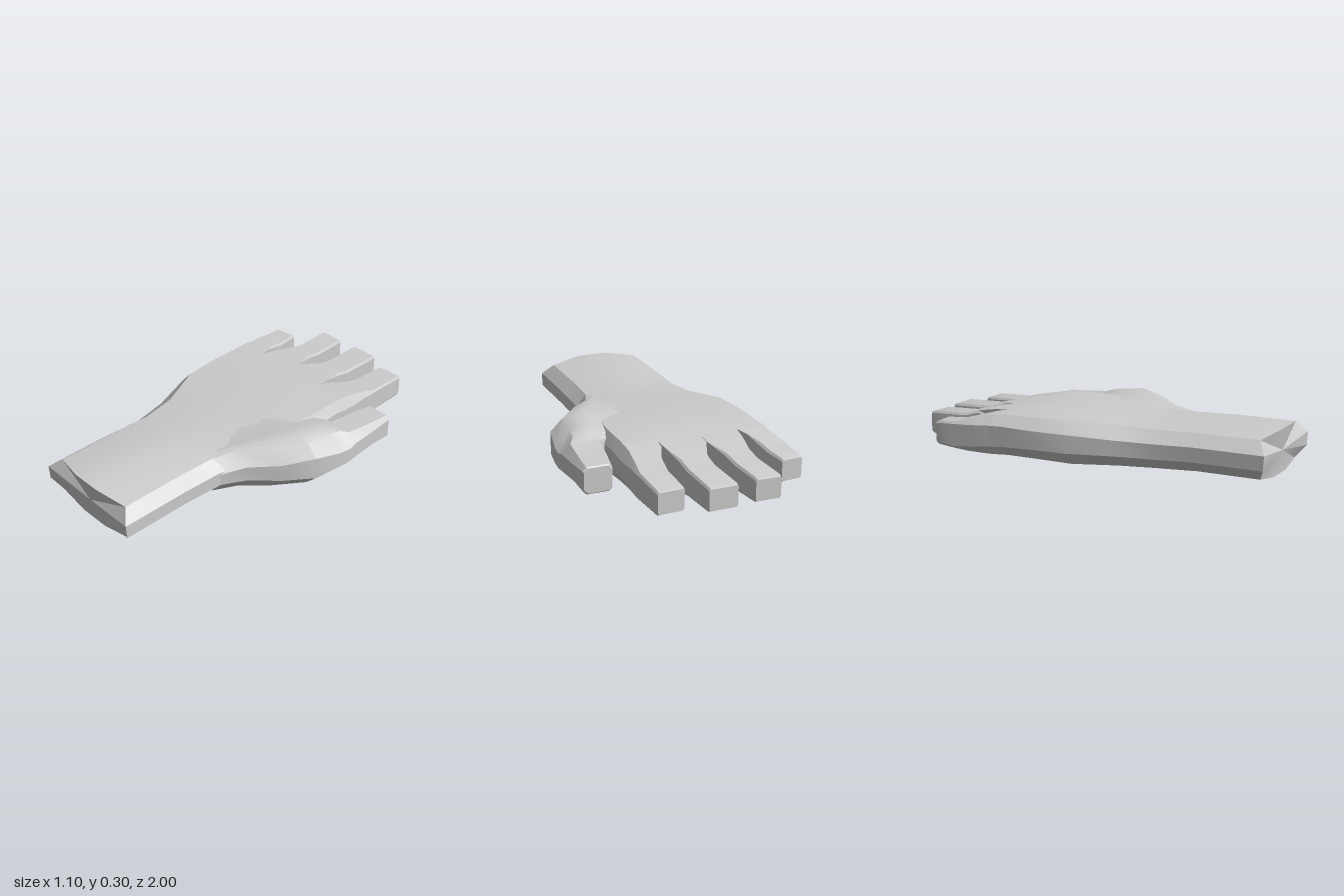
import * as THREE from 'three';
import { toCreasedNormals } from 'three/addons/utils/BufferGeometryUtils.js';

// Twelve-sided cross-section, counter-clockwise as seen from +z.
// l, r: side limits; y0, y1: bottom and top; cl, cr: chamfer widths left and right;
// hl, hr: chamfer heights left and right; d: drop of the chamfer corners below the
// crown; e: extra lift of the lower left corner.
function ring([z, l, r, y0, y1, cl, cr, hl, hr = hl, d = 0, e = 0]) {
  const a = l + cl, b = r - cr, t = (b - a) / 3;
  return [
    [a, y0 + d + e], [a + t, y0], [b - t, y0], [b, y0 + d],
    [r, y0 + hr], [r, y1 - hr],
    [b, y1 - d], [b - t, y1], [a + t, y1], [a, y1 - d],
    [l, y1 - hl], [l, y0 + hl + e],
  ].map(([x, y]) => [x, y, z]);
}

// Skin a row of rings running from +z to -z and close one end, 'front' or 'back'
function loft(name, rings, closedEnd, material) {
  const n = rings[0].length, pos = rings.flat(2), index = [];
  for (let k = 0; k < rings.length - 1; k++) {
    for (let i = 0; i < n; i++) {
      const a = k * n + i, b = k * n + (i + 1) % n;
      index.push(a, a + n, b, b, a + n, b + n);
    }
  }
  const front = closedEnd === 'front', k = front ? 0 : rings.length - 1;
  const centre = pos.length / 3;
  for (let c = 0; c < 3; c++) pos.push(rings[k].reduce((s, p) => s + p[c], 0) / n);
  for (let i = 0; i < n; i++) {
    const a = k * n + i, b = k * n + (i + 1) % n;
    index.push(centre, front ? a : b, front ? b : a);
  }
  const geo = new THREE.BufferGeometry();
  geo.setAttribute('position', new THREE.Float32BufferAttribute(pos, 3));
  geo.setIndex(index);
  const mesh = new THREE.Mesh(toCreasedNormals(geo, 0.45), material);
  mesh.name = name;
  return mesh;
}

export function createModel() {
  const group = new THREE.Group();
  group.name = 'hand';
  const mat = new THREE.MeshStandardMaterial({ color: 0xcccccc, side: THREE.DoubleSide });

  // Wrist and palm in one skin
  const palm = [
    [0.99, -0.42, 0.23, 0.017, 0.262, 0.07, 0.06, 0.085, 0.085, 0.025],
    [0.62, -0.42, 0.23, 0.017, 0.272, 0.07, 0.06, 0.09, 0.09, 0.03],
    [0.39, -0.42, 0.23, 0.018, 0.256, 0.07, 0.06, 0.08, 0.08, 0.02],
    [0.2, -0.455, 0.27, 0.015, 0.262, 0.08, 0.06, 0.08, 0.08, 0.015, 0.005],
    [-0.03, -0.53, 0.31, 0.015, 0.276, 0.06, 0.05, 0.075, 0.08, 0.01, 0.015],
    [-0.25, -0.55, 0.315, 0.025, 0.278, 0.06, 0.035, 0.07, 0.07, 0.01, 0.015],
    [-0.4, -0.55, 0.312, 0.042, 0.274, 0.06, 0.035, 0.06, 0.06, 0.006, 0.004],
    [-0.48, -0.55, 0.31, 0.05, 0.262, 0.05, 0.035, 0.05, 0.06],
  ].map(ring);
  // Ragged cut at the wrist
  [0.95, 0.96, 0.96, 0.95, 0.995, 1, 0.95, 0.99, 0.99, 0.945, 0.99, 0.985]
    .forEach((z, i) => { palm[0][i][2] = z; });
  group.add(loft('palm', palm, 'front', mat));

  // Thumb with the ball of the thumb, its left flank running into the palm
  group.add(loft('thumb', [
    [0.39, 0.0, 0.228, 0.03, 0.235, 0.1, 0.06, 0.02, 0.07],
    [0.25, 0.0, 0.29, 0.012, 0.256, 0.16, 0.07, 0.016, 0.08, 0.005],
    [0.12, -0.04, 0.42, 0.003, 0.28, 0.26, 0.09, 0.024, 0.09, 0.008],
    [-0.03, -0.04, 0.517, 0.0, 0.297, 0.29, 0.065, 0.03, 0.085, 0.022],
    [-0.18, 0.04, 0.545, 0.002, 0.281, 0.24, 0.085, 0.028, 0.095, 0.018],
    [-0.25, 0.2, 0.55, 0.012, 0.265, 0.12, 0.08, 0.04, 0.085, 0.01],
    [-0.3, 0.33, 0.545, 0.05, 0.24, 0.035, 0.045, 0.03, 0.05],
    [-0.45, 0.357, 0.54, 0.075, 0.23, 0.02, 0.03, 0.02, 0.035],
    [-0.575, 0.38, 0.535, 0.08, 0.225, 0.015, 0.02, 0.02],
    [-0.582, 0.386, 0.53, 0.086, 0.219, 0.015, 0.02, 0.02],
  ].map(ring), 'back', mat));

  // Fingers: outer chamfers, then left and right edges at root, web, middle and tip
  const fingers = [
    { name: 'littleFinger', cl: 0.05, cr: 0, root: [-0.55, -0.345], web: [-0.54, -0.552, -0.372],
      mid: [-0.62, -0.55, -0.398], tip: [-0.815, -0.55, -0.425], slant: 0.012 },
    { name: 'ringFinger', cl: 0, cr: 0, root: [-0.345, -0.135], web: [-0.575, -0.332, -0.137],
      mid: [-0.69, -0.322, -0.175], tip: [-0.985, -0.337, -0.195], slant: -0.006 },
    { name: 'middleFinger', cl: 0, cr: 0, root: [-0.135, 0.1], web: [-0.565, -0.133, 0.09],
      mid: [-0.68, -0.092, 0.068], tip: [-1, -0.1, 0.06], slant: 0 },
    { name: 'indexFinger', cl: 0, cr: 0.035, root: [0.1, 0.31], web: [-0.53, 0.1, 0.308],
      mid: [-0.64, 0.137, 0.305], tip: [-0.942, 0.152, 0.3], slant: 0.006 },
  ];
  for (const { name, cl, cr, root, web, mid, tip, slant } of fingers) {
    const kl = Math.max(cl * 0.5, 0.01), kr = Math.max(cr * 0.6, 0.01);
    const hl = cl ? 0.05 : 0.06;
    const [tz, tl, tr] = tip;
    const rings = [
      [-0.48, ...root, 0.05, 0.262, cl, cr, hl, 0.06],
      [...web, 0.05, 0.253, cl, cr, hl - 0.005, 0.055],
      [...mid, 0.058, 0.233, kl, kr, cl ? 0.03 : 0.012, cr ? 0.03 : 0.012],
      [mid[0] - 0.08, (mid[1] + tl) / 2, (mid[2] + tr) / 2, 0.07, 0.213, 0.01, 0.01, 0.012],
      [tz + 0.018, tl, tr, 0.082, 0.21, 0.008, 0.008, 0.012],
      [tz, tl + 0.004, tr - 0.004, 0.09, 0.202, 0.008, 0.008, 0.01],
    ].map(ring);
    // Slightly skewed fingertips
    for (const p of rings.slice(-2).flat()) p[2] -= slant * (p[0] - (tl + tr) / 2) / (tr - tl);
    group.add(loft(name, rings, 'back', mat));
  }
  return group;
}
